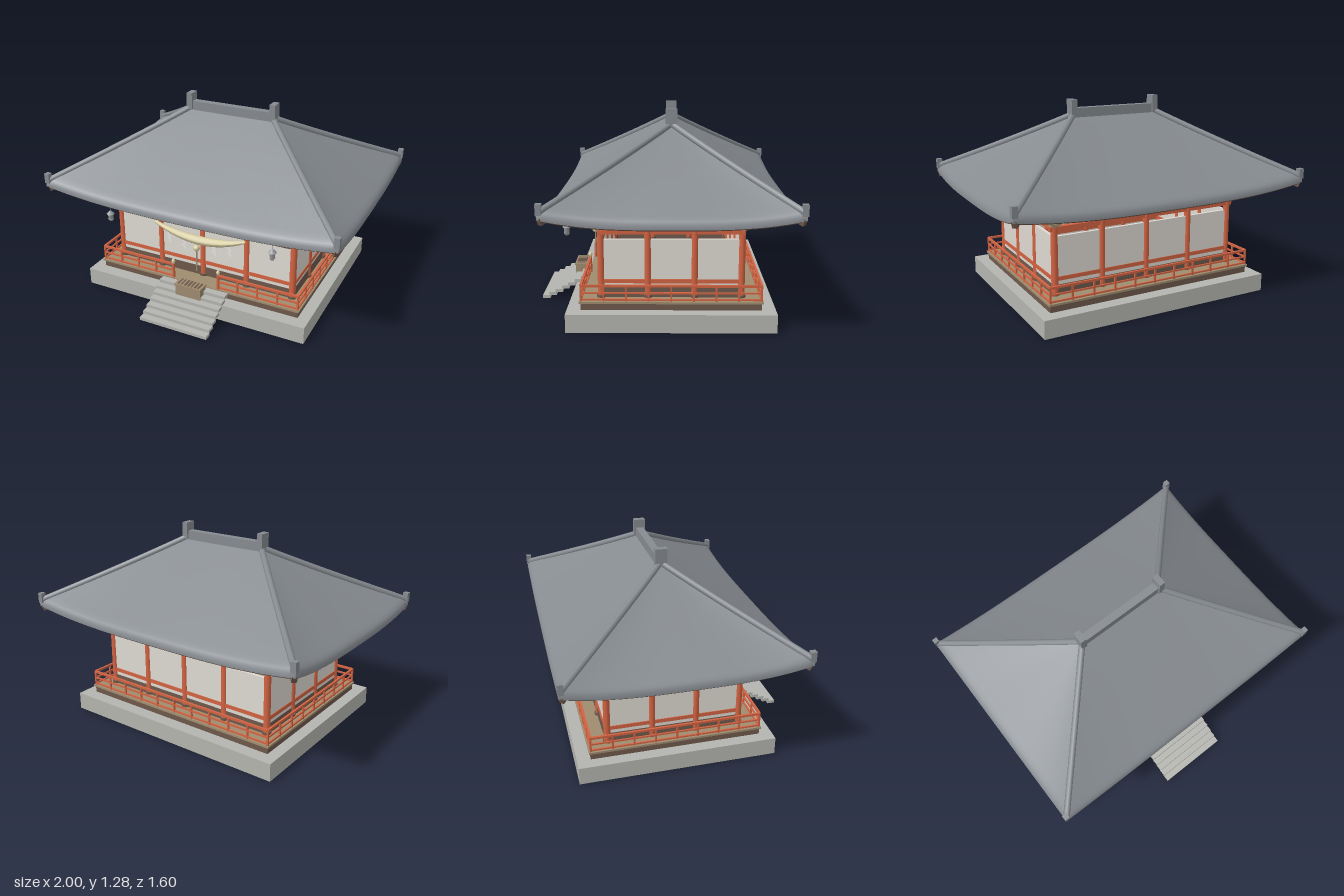
import * as THREE from 'three';

const mat = (name, color, side = THREE.FrontSide) => {
  const m = new THREE.MeshStandardMaterial({ color, side });
  m.name = name;
  return m;
};

export function createModel() {
  const M = {
    stone: mat('stone', 0xb4b5af), dark: mat('darkWood', 0x6f594c),
    wood: mat('paleWood', 0x9f8c70), red: mat('vermilion', 0xd26342),
    wall: mat('plaster', 0xdedad2), roof: mat('roofTile', 0x868b90),
    soffit: mat('soffitWood', 0x83735b), straw: mat('straw', 0xd6cca2),
    paper: mat('paper', 0xefede8, THREE.DoubleSide), iron: mat('iron', 0x93979a),
  };
  const model = new THREE.Group();
  model.name = 'hall';
  const body = new THREE.Group();
  body.name = 'building';
  body.position.z = -0.06;
  model.add(body);

  const add = (name, geo, m, x = 0, y = 0, z = 0) => {
    const mesh = new THREE.Mesh(geo, m);
    mesh.name = name;
    mesh.position.set(x, y, z);
    body.add(mesh);
    return mesh;
  };
  // box given by its centre in x, z and its bottom and top heights
  const box = (name, m, w, y0, y1, d, x = 0, z = 0) =>
    add(name, new THREE.BoxGeometry(w, y1 - y0, d), m, x, (y0 + y1) / 2, z);
  const cyl = (name, m, r0, r1, y0, y1, x, z, n = 16) =>
    add(name, new THREE.CylinderGeometry(r1, r0, y1 - y0, n), m, x, (y0 + y1) / 2, z);
  // straight bar between two points
  const UP = new THREE.Vector3(0, 1, 0);
  const bar = (name, m, p, q, w, h) => {
    const mesh = add(name, new THREE.BoxGeometry(w, h, p.distanceTo(q)), m);
    mesh.position.copy(p).add(q).multiplyScalar(0.5);
    mesh.quaternion.setFromRotationMatrix(new THREE.Matrix4().lookAt(q, p, UP));
  };
  // four bars around a rectangle of half sizes a, b
  const ring = (name, m, a, b, y0, y1, t, over = 0) => {
    for (const s of [-1, 1]) {
      box(name, m, 2 * a + t + over, y0, y1, t, 0, s * b);
      box(name, m, t, y0, y1, 2 * b - t, s * a, 0);
    }
  };

  // Platform, veranda and steps
  box('stonePlatform', M.stone, 1.58, 0, 0.115, 1.26);
  box('verandaBase', M.dark, 1.43, 0.115, 0.157, 1.09);
  box('verandaDeck', M.wood, 1.45, 0.157, 0.17, 1.11);
  for (let i = 0; i < 7; i++)
    box('step', M.stone, 0.48, 0.004 + 0.023 * i, 0.025 + 0.023 * i, 0.05, 0, 0.835 - 0.043 * i);

  // Walls, skirts and beams
  const CX = 0.63, CZ = 0.425;
  ring('plasterWall', M.wall, CX, CZ, 0.235, 0.535, 0.02);
  ring('wallSkirt', M.dark, CX, CZ, 0.17, 0.235, 0.024);
  box('frontLintel', M.dark, 1.22, 0.52, 0.57, 0.026, 0, CZ);
  ring('lowTieBeam', M.red, CX, CZ, 0.26, 0.285, 0.03);
  ring('headTieBeam', M.red, CX, CZ, 0.568, 0.595, 0.03, 0.03);

  // Columns with their brackets
  const column = (x, z) => {
    cyl('columnBase', M.dark, 0.028, 0.028, 0.17, 0.186, x, z);
    cyl('column', M.red, 0.022, 0.021, 0.186, 0.6, x, z);
    box('bracketBlock', M.wood, 0.05, 0.597, 0.622, 0.05, x, z);
    box('bracketArm', M.wood, 0.15, 0.622, 0.645, 0.03, x, z);
    box('bracketCrossArm', M.wood, 0.03, 0.622, 0.645, 0.15, x, z);
    box('bracketCap', M.wood, 0.07, 0.645, 0.666, 0.07, x, z);
  };
  for (let i = -2; i <= 2; i++) for (const s of [-1, 1]) column(i * CX / 2, s * CZ);
  for (const s of [-1, 1]) for (const t of [-1, 1]) column(s * CX, t * CZ / 3);
  ring('eavePurlin', M.wood, 0.697, 0.492, 0.666, 0.692, 0.026);
  box('ceiling', M.soffit, 1.38, 0.672, 0.685, 0.97);

  // Railing, open at the steps
  const RX = 0.712, RZ = 0.542, GAP = 0.165;
  const railRun = (x0, z0, x1, z1, n) => {
    for (const [y, t] of [[0.267, 0.014], [0.222, 0.01], [0.18, 0.01]])
      bar('rail', M.red, new THREE.Vector3(x0, y, z0), new THREE.Vector3(x1, y, z1), t, t);
    for (let i = 0; i <= n; i++)
      box('railPost', M.red, 0.011, 0.17, 0.27, 0.011, x0 + (x1 - x0) * i / n, z0 + (z1 - z0) * i / n);
  };
  railRun(-RX, -RZ, RX, -RZ, 10);
  for (const s of [-1, 1]) {
    railRun(s * RX, -RZ, s * RX, RZ, 8);
    railRun(s * GAP, RZ, s * RX, RZ, 4);
    cyl('gatePost', M.red, 0.01, 0.01, 0.17, 0.275, s * GAP, RZ, 10);
    const knob = [[0, 0], [0.01, 0], [0.008, 0.008], [0.014, 0.018], [0.009, 0.03], [0, 0.04]];
    add('postFinial', new THREE.LatheGeometry(knob.map(p => new THREE.Vector2(...p)), 12), M.straw, s * GAP, 0.272, RZ);
  }

  // Roof: a height rule shared by tiles, underside, hips and rafters
  const lerp = THREE.MathUtils.lerp;
  const roofY = (u, v) =>
    0.72 + 0.055 * Math.abs(u) ** 3 * (1 - v) ** 1.3 + 0.46 * v - 0.008 * v * (1 - v);
  const roofPoint = (side, u, v, dy) => {
    const a = lerp(0.995, 0.29, v), b = lerp(0.735, 0, v), y = roofY(u, v) + dy;
    return [[u * a, y, b], [a, y, -u * b], [-u * a, y, -b], [-a, y, u * b]][side];
  };
  const roofSheet = (name, m, rows) => {
    const N = 28;
    for (let side = 0; side < 4; side++) {
      const pos = [], idx = [];
      rows.forEach(([v, dy], r) => {
        for (let i = 0; i <= N; i++) {
          pos.push(...roofPoint(side, i / N * 2 - 1, v, dy));
          if (r && i) {
            const d = r * (N + 1) + i, c = d - 1, b = d - N - 1, a = b - 1;
            idx.push(a, b, d, a, d, c);
          }
        }
      });
      const g = new THREE.BufferGeometry();
      g.setAttribute('position', new THREE.Float32BufferAttribute(pos, 3));
      g.setIndex(idx);
      g.computeVertexNormals();
      add(name, g, m);
    }
  };
  const steps = Array.from({ length: 13 }, (_, i) => i / 12);
  // the eave edge is gently rounded over
  roofSheet('roofSlope', M.roof,
    [[0, -0.03], [0, -0.004], [0.02, 0.006], [0.045, 0.009], ...steps.slice(1).map(v => [v, 0.01 * (1 - v) ** 2])]);
  roofSheet('roofUnderside', M.soffit, steps.map(v => [1 - v, -0.03]));
  roofSheet('eaveTrim', M.dark, [[0.05, -0.03], [0.05, -0.043], [0.012, -0.043], [0.012, -0.03]]);

  // Rafters under the upswept corners
  for (let side = 0; side < 4; side++) {
    const half = side % 2 ? 0.735 : 0.995, shrink = side % 2 ? 0.735 : 0.705;
    for (const s of [-1, 1]) for (let k = 0; k < 8; k++) {
      const p = half * (0.6 + 0.045 * k);
      const vMax = Math.min(0.37, (half - p) / shrink - 0.01);
      const at = v => new THREE.Vector3(...roofPoint(side, s * p / (half - shrink * v), v, -0.034));
      bar('rafter', M.soffit, at(0.05), at(vMax), 0.012, 0.016);
    }
  }

  // Hip ridges, corner tiles and main ridge
  for (let side = 0; side < 4; side++) {
    const pts = steps.map(v => new THREE.Vector3(...roofPoint(side, 1, 0.02 + 0.98 * v, 0.006)));
    add('hipRidge', new THREE.TubeGeometry(new THREE.CatmullRomCurve3(pts), 24, 0.02, 8), M.roof);
    const c = roofPoint(side, 1, 0, 0);
    box('cornerTile', M.roof, 0.034, 0.77, 0.835, 0.034, c[0] - Math.sign(c[0]) * 0.012, c[2] - Math.sign(c[2]) * 0.012);
    const e = new THREE.Vector3(...roofPoint(side, 1, 0.015, -0.05));
    const f = new THREE.Vector3(...roofPoint(side, 1, 0.4, -0.05));
    bar('hipRafter', M.dark, e, f, 0.03, 0.04);
  }
  box('mainRidge', M.roof, 0.6, 1.16, 1.225, 0.05);
  for (const s of [-1, 1]) {
    box('ridgeEndTile', M.roof, 0.04, 1.17, 1.28, 0.075, s * 0.3);
    box('ridgeStrut', M.red, 0.06, 1.055, 1.11, 0.13, s * 0.26);
    box('strutPlaster', M.wall, 0.008, 1.06, 1.11, 0.05, s * 0.294);
  }

  // Straw rope, thick in the middle, with folded paper streamers
  const ropeY = x => 0.458 + 0.062 * (x / 0.32) ** 2;
  const curve = new THREE.CatmullRomCurve3(
    Array.from({ length: 9 }, (_, i) => (i - 4) * 0.08).map(x => new THREE.Vector3(x, ropeY(x), 0.485)));
  const rope = new THREE.TubeGeometry(curve, 40, 1, 12);
  const rp = rope.attributes.position, rn = rope.attributes.normal;
  for (let i = 0; i < rp.count; i++) {
    const t = Math.floor(i / 13) / 40, c = curve.getPointAt(t);
    const r = 0.01 + 0.019 * Math.sin(Math.PI * t);
    rp.setXYZ(i, c.x + rn.getX(i) * r, c.y + rn.getY(i) * r, c.z + rn.getZ(i) * r);
  }
  rope.computeVertexNormals();
  add('strawRope', rope, M.straw);
  for (const s of [-1, 1]) add('ropeEnd', new THREE.SphereGeometry(0.01, 10, 8), M.straw, s * 0.32, 0.52, 0.485);
  for (const x of [-0.22, -0.11, 0.11, 0.22])
    for (let k = 0; k < 4; k++) {
      const fold = add('paperStreamer', new THREE.BoxGeometry(0.018, 0.02, 0.002), M.paper,
        x + (k % 2 ? 0.006 : -0.006), ropeY(x) - 0.03 - 0.017 * k, 0.487);
      fold.rotation.z = k % 2 ? 0.5 : -0.5;
    }

  // Bell with pull cord, and offering box
  add('bell', new THREE.SphereGeometry(0.022, 16, 12), M.straw, 0, 0.42, 0.522);
  cyl('bellCord', M.wood, 0.005, 0.005, 0.25, 0.4, 0, 0.522, 8);
  box('offeringBox', M.wood, 0.18, 0.12, 0.195, 0.075, 0, 0.615);
  box('offeringBoxRim', M.wood, 0.19, 0.19, 0.202, 0.085, 0, 0.615);
  for (let i = -3; i <= 3; i++) box('offeringSlat', M.dark, 0.012, 0.2, 0.204, 0.065, i * 0.024, 0.615);

  // Hanging lanterns
  for (const s of [-1, 1]) {
    const x = s * 0.572, z = 0.635;
    cyl('lanternCord', M.iron, 0.002, 0.002, 0.61, 0.73, x, z, 6);
    cyl('lanternCap', M.iron, 0.027, 0.006, 0.592, 0.614, x, z, 6);
    cyl('lanternBody', M.iron, 0.015, 0.018, 0.555, 0.592, x, z, 6);
    cyl('lanternFoot', M.iron, 0.012, 0.019, 0.543, 0.555, x, z, 6);
  }
  return model;
}
